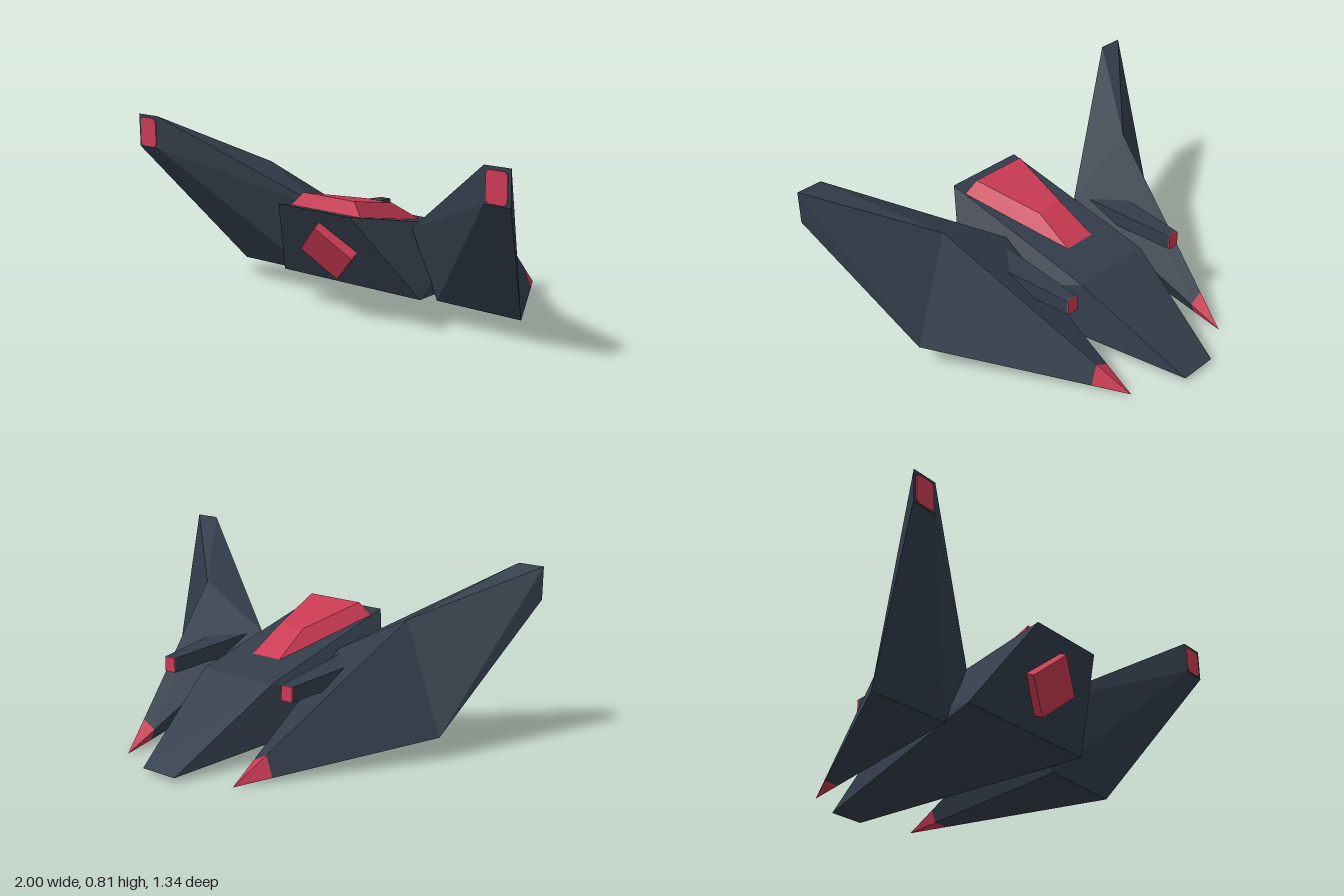
import * as THREE from 'three';
import { ConvexGeometry } from 'three/addons/geometries/ConvexGeometry.js';

const hullGrey = new THREE.MeshStandardMaterial({ color: 0x323d4a });
hullGrey.name = 'hull slate';
const accentRed = new THREE.MeshStandardMaterial({ color: 0xc93a52 });
accentRed.name = 'accent red';

// Faceted convex solid from its corner points; side = -1 mirrors it in x
function solid(name, points, material, side = 1) {
  const corners = points.map(([x, y, z]) => new THREE.Vector3(x * side, y, z));
  const mesh = new THREE.Mesh(new ConvexGeometry(corners), material);
  mesh.name = name;
  return mesh;
}

// Both corners of a symmetric edge
const pair = (x, y, z) => [[x, y, z], [-x, y, z]];
const lerp = (a, b, t) => a.map((v, i) => v + (b[i] - v) * t);

function createWing(side) {
  const wing = new THREE.Group();
  wing.name = side > 0 ? 'leftWing' : 'rightWing';

  // Root section: outer keel, ridge, inner shoulder, inner keel
  const root = [[0.775, 0.105, 0.25], [0.58, 0.59, 0.27], [0.225, 0.4, 0.26], [0.36, 0.11, 0.26]];
  const tip = [[1, 0.67, 0.668], [1, 0.815, 0.668], [0.88, 0.815, 0.668], [0.88, 0.67, 0.668]];
  const spike = [0.305, 0, -0.55];
  const cut = root.map((p) => lerp(spike, p, 0.185));

  wing.add(solid('wingFront', [...root, ...tip], hullGrey, side));
  wing.add(solid('wingRear', [...root, ...cut], hullGrey, side));
  wing.add(solid('wingSpike', [...cut, spike], accentRed, side));

  // Light plate with clipped corners on the wing tip
  const w = 0.048, h = 0.063, c = 0.012;
  const outline = [[w - c, h], [w, h - c], [w, c - h], [w - c, -h], [c - w, -h], [-w, c - h], [-w, h - c], [c - w, h]];
  const plate = outline.flatMap(([x, y]) => [0.666, 0.672].map((z) => [0.938 + x, 0.738 + y, z]));
  wing.add(solid('wingTipLight', plate, accentRed, side));

  // Tapered pod on the upper wing, with a red rear cap
  const podRear = [[0.308, 0.298, -0.24], [0.365, 0.298, -0.24], [0.365, 0.365, -0.24], [0.308, 0.365, -0.24]];
  const podFront = [[0.272, 0.32, 0.2], [0.41, 0.32, 0.2], [0.41, 0.395, 0.2], [0.272, 0.395, 0.2]];
  const capEnd = podRear.map(([x, y]) => [x, y, -0.246]);
  wing.add(solid('pod', [...podRear, ...podFront], hullGrey, side));
  wing.add(solid('podCap', [...podRear, ...capEnd], accentRed, side));
  return wing;
}

export function createModel() {
  const model = new THREE.Group();
  model.name = 'starfighter';

  // Wedge fuselage
  model.add(solid('fuselage', [
    ...pair(0.195, 0.51, 0.62), ...pair(0.38, 0.15, 0.4),
    ...pair(0.195, 0.328, -0.17), ...pair(0.09, 0.022, -0.67),
  ], hullGrey));

  // Canopy, sunk slightly into the fuselage top
  model.add(solid('canopy', [
    ...pair(0.195, 0.49, 0.55), ...pair(0.14, 0.55, 0.525),
    ...pair(0.068, 0.477, 0.2), ...pair(0.078, 0.373, 0.02),
  ], accentRed));

  // Diamond block on the slanted nose
  const nose = new THREE.Mesh(new THREE.BoxGeometry(0.2, 0.2, 0.1), accentRed);
  nose.name = 'noseDiamond';
  nose.rotation.set(0.5, 0, Math.PI / 4);
  nose.position.set(0, 0.335, 0.504);
  model.add(nose);

  for (const side of [1, -1]) model.add(createWing(side));
  return model;
}
